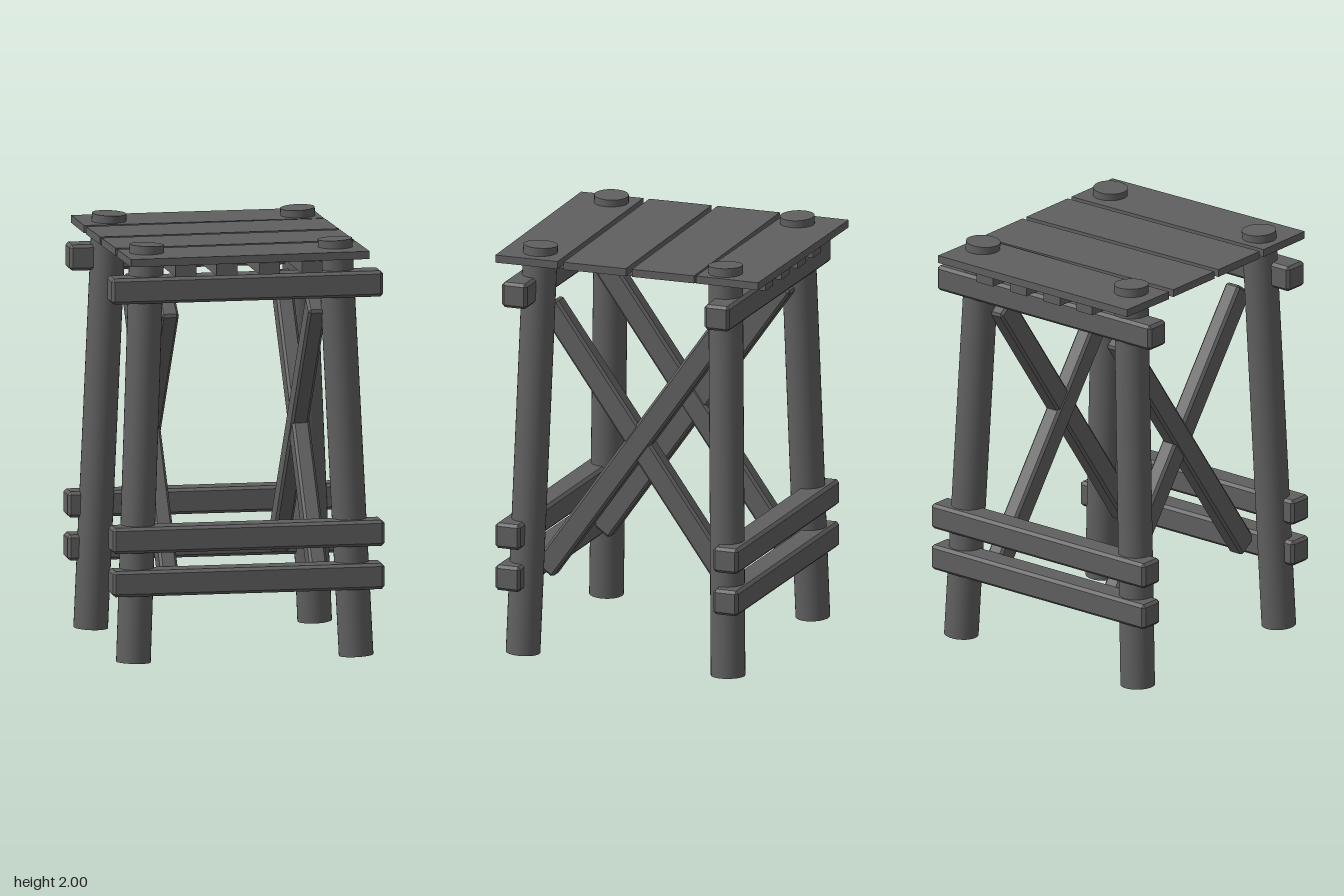
import * as THREE from 'three';
import { ConvexGeometry } from 'three/addons/geometries/ConvexGeometry.js';

const wood = new THREE.MeshStandardMaterial({ color: 0x606060 });
wood.name = 'weathered grey';

// Box with chamfered edges and corners
function chamferedBox(w, h, d, b = 0.014) {
  const points = [];
  for (const sx of [-1, 1]) for (const sy of [-1, 1]) for (const sz of [-1, 1]) {
    for (let axis = 0; axis < 3; axis++) {
      const inset = [b, b, b];
      inset[axis] = 0;
      points.push(new THREE.Vector3(
        sx * (w / 2 - inset[0]), sy * (h / 2 - inset[1]), sz * (d / 2 - inset[2])));
    }
  }
  return new ConvexGeometry(points);
}

export function createModel() {
  const model = new THREE.Group();
  model.name = 'woodenStand';

  const add = (name, geometry, x, y, z) => {
    const mesh = new THREE.Mesh(geometry, wood);
    mesh.name = name;
    mesh.position.set(x, y, z);
    model.add(mesh);
    return mesh;
  };

  // Round legs, leaning inwards and poking through the top
  const up = new THREE.Vector3(0, 1, 0);
  for (const [name, bottom, top] of [
    ['frontLeftLeg', [0.535, 0.525], [0.443, 0.472]],
    ['frontRightLeg', [-0.54, 0.53], [-0.464, 0.474]],
    ['backLeftLeg', [0.54, -0.522], [0.447, -0.472]],
    ['backRightLeg', [-0.54, -0.522], [-0.46, -0.474]],
  ]) {
    const a = new THREE.Vector3(bottom[0], 0.006, bottom[1]);
    const b = new THREE.Vector3(top[0], 1.996, top[1]);
    const axis = b.clone().sub(a);
    const leg = add(name, new THREE.CylinderGeometry(0.082, 0.082, axis.length(), 32),
      ...a.add(b).multiplyScalar(0.5).toArray());
    leg.quaternion.setFromUnitVectors(up, axis.normalize());
  }

  // Horizontal rails across the front and back
  const rail = chamferedBox(1.31, 0.124, 0.128);
  for (const [name, y, frontZ, backZ] of [
    ['LowerRail', 0.393, 0.559, -0.552],
    ['MiddleRail', 0.6, 0.559, -0.552],
    ['TopRail', 1.79, 0.525, -0.507],
  ]) {
    add('front' + name, rail, 0, y, frontZ);
    add('back' + name, rail, 0, y, backZ);
  }

  // Crossed braces on both sides
  for (const side of [-1, 1]) {
    for (const [name, x, topZ, bottomZ] of [
      ['frontHighBrace', 0.355, 0.457, -0.485],
      ['backHighBrace', 0.36, -0.45, 0.478],
    ]) {
      const dz = topZ - bottomZ, dy = 1.31;
      const brace = add((side > 0 ? 'left ' : 'right ') + name,
        chamferedBox(0.085, Math.hypot(dz, dy), 0.113, 0.012),
        side * x, 1.032, (topZ + bottomZ) / 2);
      brace.rotation.x = Math.atan2(dz, dy);
    }
  }

  // Slats supporting the top
  for (const x of [-0.306, -0.109, 0.098, 0.302]) {
    add('slat', new THREE.BoxGeometry(0.1, 0.056, 1.27), x, 1.888, -0.002);
  }

  // Top boards, laid slightly askew
  for (const [x, z, turn] of [
    [-0.025, -0.522, 0],
    [-0.019, -0.185, 0.0215],
    [-0.012, 0.16, 0.0215],
    [-0.005, 0.505, 0.0215],
  ]) {
    const board = add('topBoard', new THREE.BoxGeometry(1.156, 0.037, 0.315), x, 1.94, z);
    board.rotation.y = turn;
  }

  return model;
}
